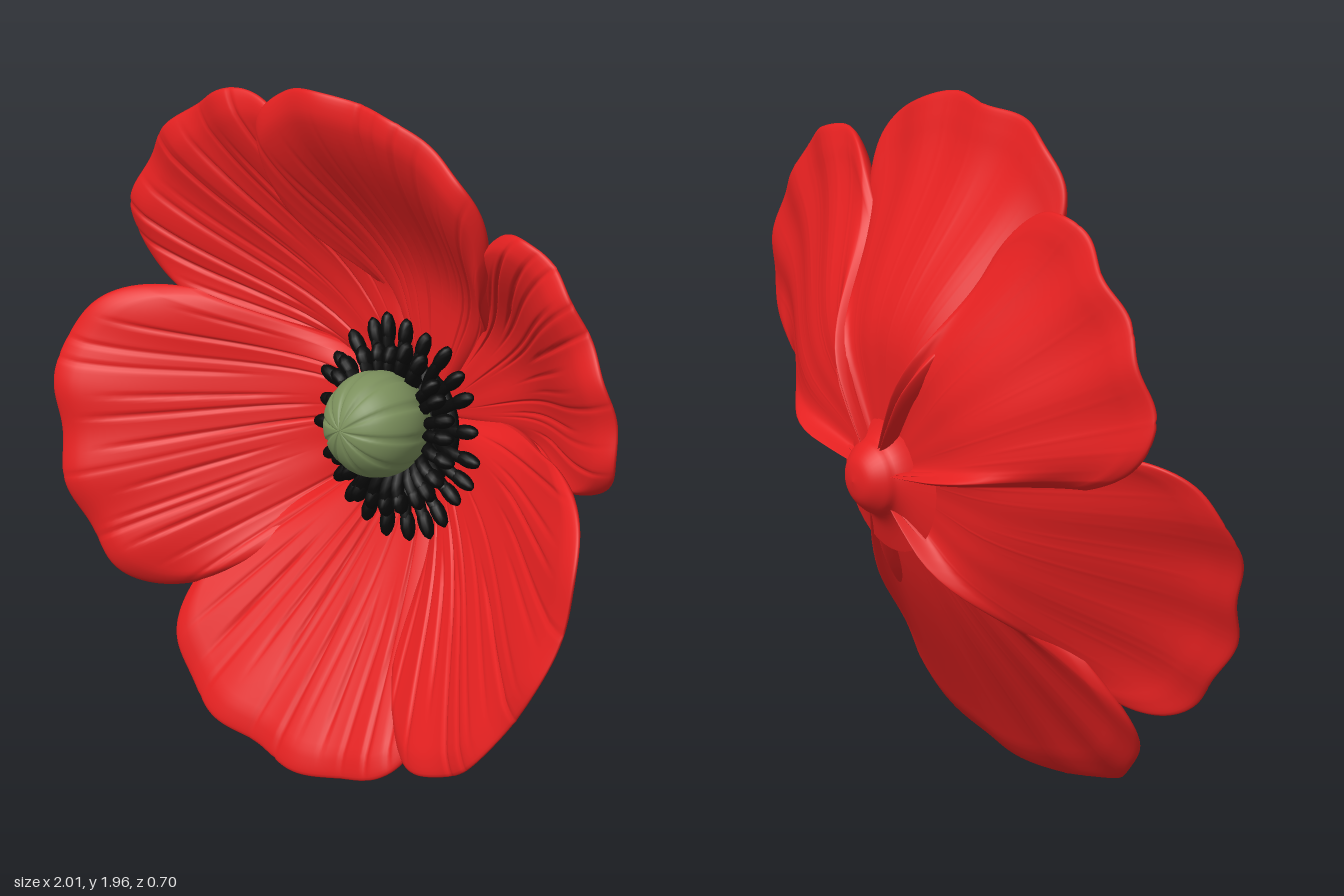
import * as THREE from 'three';

const red = new THREE.MeshStandardMaterial({ color: 0xe32020, side: THREE.DoubleSide });
red.name = 'petalRed';
const green = new THREE.MeshStandardMaterial({ color: 0x7a8e5b });
green.name = 'podGreen';
const black = new THREE.MeshStandardMaterial({ color: 0x080808 });
black.name = 'stamenBlack';

const CENTRE_Y = 0.96, BASE_Z = -0.225;

// mid and half: petal direction and half-width in degrees, counter-clockwise.
// r and z: rim radius and depth at the first edge, the middle and the last edge.
// cup: 0 = straight funnel, 1 = flat bowl that turns up towards the rim.
const petals = [
  { name: 'topPetal', mid: 88, half: 33, r: [0.92, 1.01, 0.99], z: [0.03, 0.08, 0.12], cup: 0.95 },
  { name: 'upperLeftPetal', mid: 32, half: 29, r: [1.01, 1.025, 1.0], z: [0.06, 0.04, 0.03], cup: 0.9 },
  { name: 'lowerLeftPetal', mid: -32, half: 44, r: [0.9, 0.985, 1.06], z: [0.24, 0.33, 0.17], cup: 0.15 },
  { name: 'bottomPetal', mid: -102, half: 37, r: [0.98, 0.95, 0.95], z: [0.18, 0.25, 0.16], cup: 0.1 },
  { name: 'lowerRightPetal', mid: 196, half: 33, r: [1.04, 0.98, 0.95], z: [0.1, 0.28, 0.17], cup: 0.55 },
  { name: 'upperRightPetal', mid: 140, half: 30, r: [0.98, 1.06, 1.04], z: [0.02, -0.02, 0], cup: 0.9 },
];

function seeded(seed) {
  return () => {
    seed = (seed * 16807) % 2147483647;
    return seed / 2147483647;
  };
}

// Parabola through a at -1, b at 0 and c at 1
const blend = ([a, b, c], u) => b + (c - a) / 2 * u + ((a + c) / 2 - b) * u * u;

// A thick, creased sheet fanning out from the flower's heart to its rim
function petalGeometry({ mid, half, r, z: depth, cup }, seed) {
  const rand = seeded(seed * 7919 + 13);
  const count = 14;
  const grooves = Array.from({ length: count }, (_, k) => ({
    u: -0.92 + 1.84 * (k + 0.15 + 0.7 * rand()) / count,
    from: 0.15 + 0.4 * rand(), to: 0.65 + 0.25 * rand(),
    depth: 0.004 + 0.008 * rand(), bend: 0.04 * (rand() - 0.5),
  }));
  const cols = 160, steps = 28, rows = steps * 2;
  const phase = rand() * 6;
  const pos = [], index = [];
  for (let i = 0; i <= cols; i++) {
    const v = (i / cols) * 2 - 1;
    const u = 1.2 * v - 0.2 * v ** 3;
    const angle = THREE.MathUtils.degToRad(mid + half * u);
    // rounded corners, slightly scalloped rim
    const corner = 1 - 0.3 * Math.abs(u) ** 6;
    const rimR = blend(r, u) * corner + 0.006 * Math.sin(u * 11 + phase);
    const rimRise = (blend(depth, u) - BASE_Z) * corner;
    for (let j = 0; j <= rows; j++) {
      const front = j <= steps;
      const s = (front ? j : rows - j) / steps;
      const t = 1 - (1 - s) ** 1.7;
      const rise = THREE.MathUtils.lerp(t ** 1.15, THREE.MathUtils.smoothstep(t, 0.33, 0.98), cup);
      let z = BASE_Z + rimRise * rise;
      // side edges roll backwards, the rim ripples
      z -= 0.05 * Math.abs(u) ** 7 * Math.sin(Math.PI * t ** 0.7);
      z += 0.01 * Math.sin(u * 13 + phase) * t * t * (1 - u ** 4);
      let crease = 0;
      for (const g of grooves) {
        const d = (u - g.u - g.bend * Math.sin(t * 5)) / 0.013;
        if (Math.abs(d) < 4) {
          crease += g.depth * Math.exp(-d * d) * THREE.MathUtils.smoothstep(t, g.from, g.from + 0.15)
            * (1 - THREE.MathUtils.smoothstep(t, g.to, g.to + 0.2));
        }
      }
      const round = Math.min(1, Math.sqrt((1 - t) * 14))
        * Math.min(1, Math.sqrt(Math.max(0, 1 - Math.abs(u)) * 12));
      // swollen rib along the back of each side edge
      const rib = 0.03 * Math.exp(-(((Math.abs(u) - 0.93) / 0.09) ** 2)) * (1 - THREE.MathUtils.smoothstep(t, 0.45, 0.8));
      z += front ? 0.024 * round - crease : -(0.024 + rib) * round - crease * 0.1;
      pos.push(Math.cos(angle) * rimR * t, CENTRE_Y + Math.sin(angle) * rimR * t, z);
      if (i < cols && j < rows) {
        const a = i * (rows + 1) + j, b = a + rows + 1;
        index.push(a, a + 1, b + 1, a, b + 1, b);
      }
    }
  }
  const geo = new THREE.BufferGeometry();
  geo.setAttribute('position', new THREE.Float32BufferAttribute(pos, 3));
  geo.setIndex(index);
  geo.computeVertexNormals();
  return geo;
}

// Ribbed seed pod, pole facing +z
function podGeometry() {
  const geo = new THREE.SphereGeometry(0.148, 80, 24).rotateX(Math.PI / 2);
  const p = geo.attributes.position, v = new THREE.Vector3();
  for (let i = 0; i < p.count; i++) {
    v.fromBufferAttribute(p, i);
    const spread = Math.min(1, Math.hypot(v.x, v.y) / 0.06);
    const groove = (1 - Math.abs(Math.sin(5 * Math.atan2(v.y, v.x)))) ** 4;
    v.multiplyScalar(1 - 0.05 * groove * spread);
    p.setXYZ(i, v.x, v.y, v.z);
  }
  geo.computeVertexNormals();
  return geo;
}

function add(parent, name, geometry, material) {
  const mesh = new THREE.Mesh(geometry, material);
  mesh.name = name;
  parent.add(mesh);
  return mesh;
}

export function createModel() {
  const flower = new THREE.Group();
  flower.name = 'flower';
  petals.forEach((petal, k) => add(flower, petal.name, petalGeometry(petal, k + 1), red));

  // Rounded knob behind the petals, flaring into them
  const profile = [[0.22, 0], [0.15, 0.025], [0.112, 0.05], [0.095, 0.08], [0.055, 0.115], [0, 0.127]];
  const knob = add(flower, 'backKnob', new THREE.LatheGeometry(
    new THREE.SplineCurve(profile.map(([x, y]) => new THREE.Vector2(x, y))).getPoints(24), 40), red);
  knob.rotation.x = -Math.PI / 2;
  knob.position.set(0, 0.95, -0.225);

  // Heart of the flower, tilted slightly upwards
  const heart = new THREE.Group();
  heart.name = 'heart';
  heart.position.set(-0.01, 0.955, -0.2);
  heart.rotation.x = -0.16;
  flower.add(heart);
  add(heart, 'seedPod', podGeometry(), green).position.z = 0.2;
  const stamens = new THREE.Group();
  stamens.name = 'stamens';
  stamens.position.y = -0.022;
  heart.add(stamens);
  const cushion = add(stamens, 'stamenCushion', new THREE.SphereGeometry(0.18, 32, 16), black);
  cushion.scale.z = 0.3;
  cushion.position.z = 0.065;

  // Two rings of curved stamens with thick tips
  const path = new THREE.CatmullRomCurve3([[0.08, 0.04], [0.14, 0.095], [0.21, 0.12], [0.285, 0.115]]
    .map(([x, z]) => new THREE.Vector3(x, 0, z)));
  const filament = new THREE.TubeGeometry(path, 8, 0.017, 7);
  const tip = new THREE.SphereGeometry(0.021, 10, 8).scale(2.2, 1, 1).translate(0.265, 0, 0.117);
  const rand = seeded(4242);
  for (let ring = 0; ring < 2; ring++) {
    for (let k = 0; k < 24; k++) {
      const stamen = new THREE.Group();
      stamen.name = 'stamen';
      stamen.rotation.z = ((k + ring * 0.5 + (rand() - 0.5) * 0.35) / 24) * Math.PI * 2;
      const reach = (ring ? 0.74 : 0.93) + rand() * 0.1;
      stamen.scale.set(reach, 1, ring ? 1.25 : 1);
      add(stamen, 'filament', filament, black);
      add(stamen, 'stamenTip', tip, black);
      stamens.add(stamen);
    }
  }
  return flower;
}
